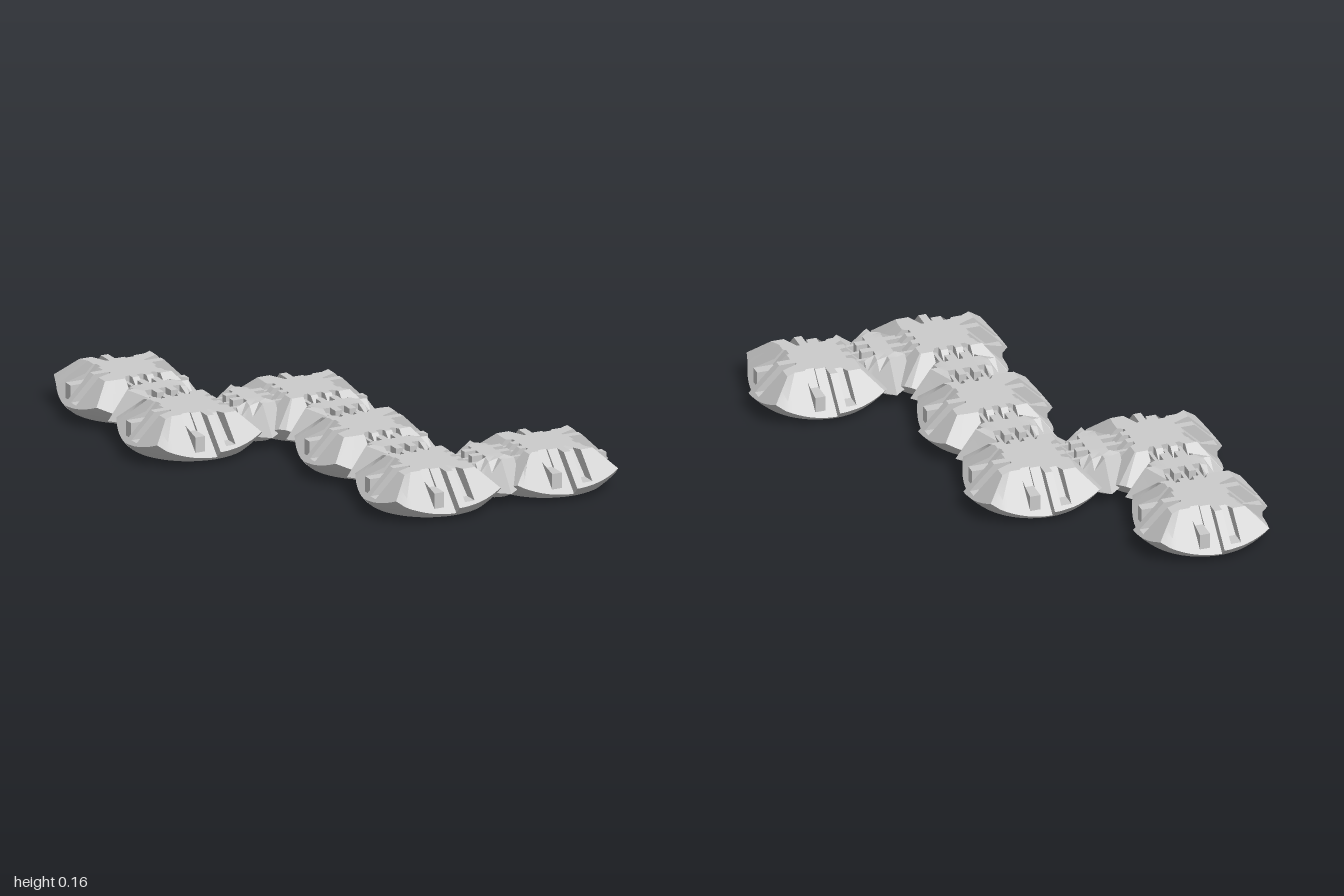
import * as THREE from 'three';
import { toCreasedNormals } from 'three/addons/utils/BufferGeometryUtils.js';

const TOP = 0.165, CY = 0.293, R = 0.356, BASE = 0.015, END = 0.19;
const material = new THREE.MeshStandardMaterial({ color: 0xcccccc });
const doubleSided = new THREE.MeshStandardMaterial({ color: 0xcccccc, side: THREE.DoubleSide });

// Skin a list of equally long cross-sections; closed joins the last to the first.
function loft(sections, closed) {
  const pos = [];
  const n = sections.length;
  for (let j = 0; j < (closed ? n : n - 1); j++) {
    const p = sections[j], q = sections[(j + 1) % n];
    for (let i = 0; i < p.length - 1; i++) {
      for (const t of [[p[i], p[i + 1], q[i + 1]], [p[i], q[i + 1], q[i]]]) {
        const area = t[1].clone().sub(t[0]).cross(t[2].clone().sub(t[0])).length();
        if (area > 1e-9) t.forEach((v) => pos.push(v.x, v.y, v.z));
      }
    }
  }
  const g = new THREE.BufferGeometry();
  g.setAttribute('position', new THREE.Float32BufferAttribute(pos, 3));
  return toCreasedNormals(g, 0.35);
}

function addMesh(parent, name, geometry, mat = material) {
  const m = new THREE.Mesh(geometry, mat);
  m.name = name;
  parent.add(m);
  return m;
}

// Runs along one tile edge: from, to, kind, subdivisions
const FREE_EDGE = [
  [-END, -0.08, 'low', 5], [-0.08, -0.04, 'pin', 1], [-0.04, 0, 'low', 2],
  [0, 0.03, 'high', 2], [0.03, 0.07, 'groove', 1], [0.07, END, 'high', 5],
];
const HINGE_EDGE = [
  [-END, -0.073, 'flat', 5], [-0.073, -0.043, 'slot', 1], [-0.043, -0.015, 'flat', 1],
  [-0.015, 0.015, 'slot', 1], [0.015, 0.043, 'flat', 1], [0.043, 0.073, 'slot', 1],
  [0.073, END, 'flat', 5],
];
const OFFSET = { low: -0.027, pin: -0.027, high: 0.027, groove: 0.027, flat: -0.004, slot: -0.004 };

// Cross-section of a tile, from the top centre over the slope to the underside
function tileSection(s, kind) {
  const V = (along, y, out) => new THREE.Vector3(along, y, out);
  const o = OFFSET[kind];
  const rim = (o + Math.sqrt(2 * (R * R - s * s) - o * o)) / 2;
  const edge = V(THREE.MathUtils.clamp(s, -0.12, 0.12), TOP, CY - TOP + o);
  const outer = V(s, CY - rim + o, rim);
  let mid = [0.25, 0.5, 0.75].map((t) => edge.clone().lerp(outer, t));
  if (kind === 'pin') {
    edge.z = 0.09;
    mid = [V(s, 0.11, 0.14), V(s, 0.11, 0.216), V(s, 0.05, 0.216)];
  } else if (kind === 'groove') {
    edge.z = 0.09;
    mid = [V(s, 0.15, 0.095), V(s, 0.07, 0.19), V(s, 0.07, 0.25)];
  } else if (kind === 'slot') {
    edge.z = 0.1;
    mid = [V(s, 0.09, 0.1), V(s, 0.09, 0.15), V(s, 0.09, 0.199)];
  }
  // Spherical underside down to the flat base, then the square recess
  const k = s / END, baseR = Math.sqrt(R * R - (CY - BASE) ** 2), bs = k * baseR * Math.SQRT1_2;
  const base = V(bs, BASE, Math.sqrt(baseR * baseR - bs * bs));
  const centre = V(0, CY, 0);
  const cap = [1 / 3, 2 / 3].map((t) =>
    outer.clone().lerp(base, t).sub(centre).setLength(R).add(centre));
  return [V(0, TOP, 0), edge, ...mid, outer, ...cap, base, V(k * 0.15, BASE, 0.15), V(k * 0.1, 0.06, 0.1)];
}

function tile(hingeSides) {
  const group = new THREE.Group();
  const sections = [];
  for (let side = 0; side < 4; side++) {
    for (const [a, b, kind, n] of hingeSides.includes(side) ? HINGE_EDGE : FREE_EDGE) {
      for (let i = 0; i <= n; i++) {
        const sec = tileSection(a + (b - a) * i / n, kind);
        const ang = side * Math.PI / 2;
        sections.push(sec.map((v) => v.applyAxisAngle(new THREE.Vector3(0, 1, 0), ang)));
      }
    }
  }
  addMesh(group, 'tileBody', loft(sections, true));

  // Recess floor with a round blind hole
  const floor = new THREE.Shape();
  floor.moveTo(-0.1, -0.1).lineTo(0.1, -0.1).lineTo(0.1, 0.1).lineTo(-0.1, 0.1).closePath();
  floor.holes.push(new THREE.Path().absarc(0, 0, 0.03, 0, Math.PI * 2, true));
  const floorMesh = addMesh(group, 'recessFloor', new THREE.ShapeGeometry(floor, 24));
  floorMesh.rotation.x = Math.PI / 2;
  floorMesh.position.y = 0.06;
  addMesh(group, 'holeWall', new THREE.CylinderGeometry(0.03, 0.03, 0.03, 32, 1, true), doubleSided).position.y = 0.075;
  const cap = addMesh(group, 'holeEnd', new THREE.CircleGeometry(0.03, 32));
  cap.rotation.x = Math.PI / 2;
  cap.position.y = 0.09;
  return group;
}

// Hinge block cross-section at distance t along its length
function hingeSection(t, slotted) {
  const a = Math.abs(t);
  const wide = a <= 0.14 ? 0.08 : 0.08 * (0.207 - a) / 0.067;
  const topAt = (w) => THREE.MathUtils.clamp(0.055 + 0.11 * (0.207 - 0.84 * w - a) / 0.08, 0.055, TOP);
  const low = 0.055 * (a / 0.207) ** 2;
  const inner = slotted ? 0.035 : wide / 2;
  const shelf = slotted ? 0.07 : topAt(wide);
  const half = [
    [inner, topAt(inner)], [inner, slotted ? shelf : topAt(inner)],
    [wide, shelf], [wide, 0.055], [0.03 * (1 - a / 0.207), low],
  ];
  const loop = [[0, topAt(0)], ...half, ...half.map(([w, y]) => [-w, y]).reverse(), [0, topAt(0)]];
  return loop.map(([w, y]) => new THREE.Vector3(t, y, w));
}

function hinge() {
  const group = new THREE.Group();
  const runs = [
    [[-0.207, -0.14, -0.127, -0.1, -0.073], false], [[-0.073, -0.043], true],
    [[-0.043, -0.015], false], [[-0.015, 0.015], true], [[0.015, 0.043], false],
    [[0.043, 0.073], true], [[0.073, 0.1, 0.127, 0.14, 0.207], false],
  ];
  const sections = runs.flatMap(([ts, slotted]) => ts.map((t) => hingeSection(t, slotted)));
  addMesh(group, 'hingeBlock', loft(sections, false));
  // Thin links running from the block into the tile slots
  for (const x of [-0.058, 0, 0.058]) {
    for (const side of [-1, 1]) {
      const link = addMesh(group, 'hingeLink', new THREE.BoxGeometry(0.014, 0.04, 0.115));
      link.position.set(x, 0.125, side * 0.09);
    }
  }
  return group;
}

export function createModel() {
  const model = new THREE.Group();
  model.name = 'foldingTileChain';
  const P = 0.49;
  // Column, row and hinged sides of each tile (0 front, 1 left, 2 back, 3 right)
  const tiles = [
    [-1, -1.5, [0]], [-1, -0.5, [1, 2]], [0, -0.5, [0, 3]],
    [0, 0.5, [0, 2]], [0, 1.5, [1, 2]], [1, 1.5, [3]],
  ];
  tiles.forEach(([c, r, sides], i) => {
    const t = tile(sides);
    t.name = 'tile' + (i + 1);
    t.position.set(c * P, 0, r * P);
    model.add(t);
    if (i === tiles.length - 1) return;
    const [c2, r2] = tiles[i + 1];
    const h = hinge();
    h.name = 'hinge' + (i + 1);
    h.position.set((c + c2) / 2 * P, 0, (r + r2) / 2 * P);
    if (c !== c2) h.rotation.y = Math.PI / 2;
    model.add(h);
  });
  return model;
}
